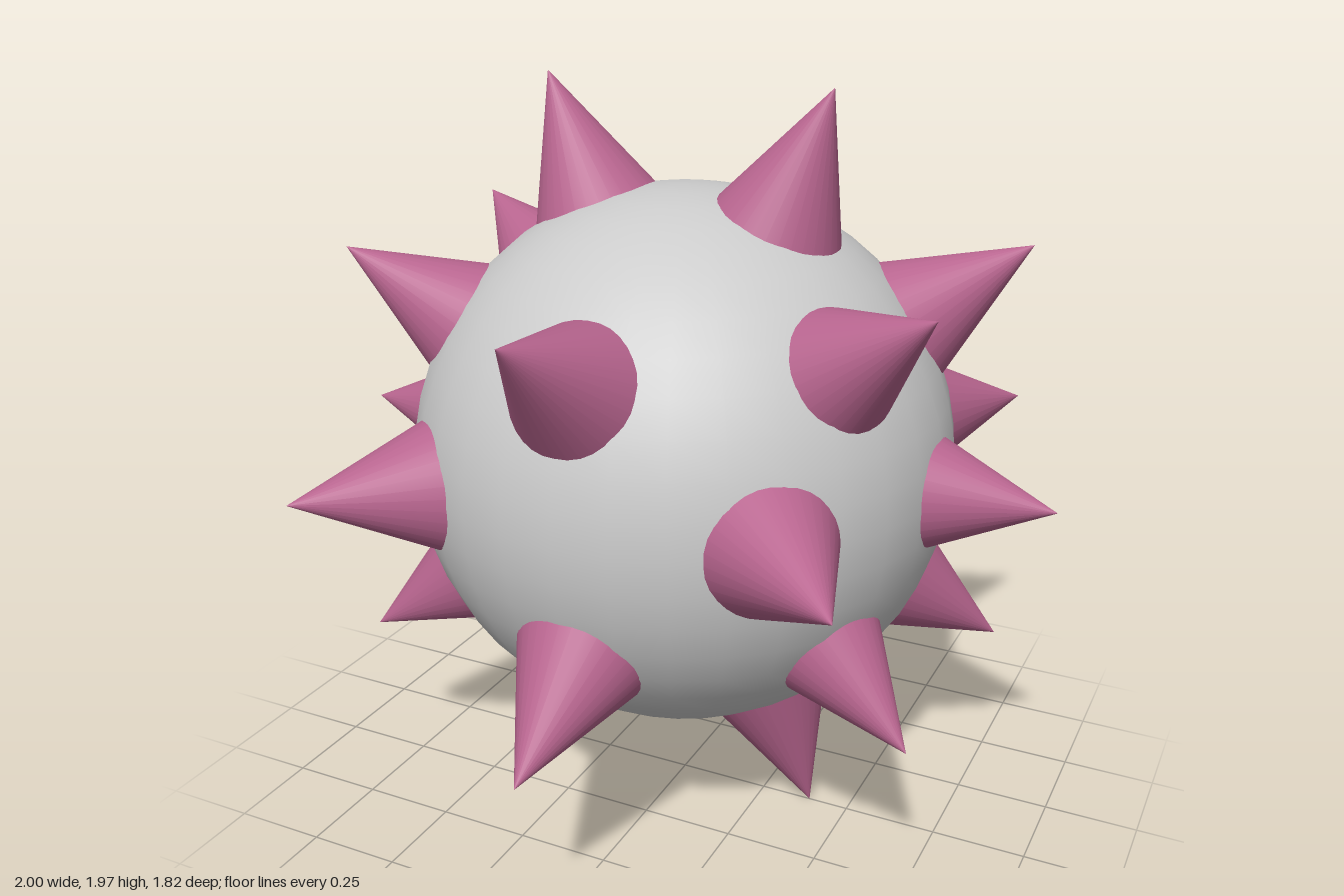
import * as THREE from 'three';

const CENTER = new THREE.Vector3(0, 0.995, 0);
const RADIUS = 0.715;
const SLOPE = 0.462;   // cone radius per unit of height
const ROOT = 0.58;     // distance from the centre where a spike is rooted

// Spike tips; entries with x > 0 are mirrored to the other side
const TIPS = [
  ['upperSpike', 0.39, 1.97, 0],
  ['lowerSpike', 0.39, 0, 0],
  ['sideSpike', 1, 0.997, 0],
  ['frontUpperSpike', 0, 1.53, 0.9],
  ['frontLowerSpike', 0, 0.47, 0.91],
  ['backUpperSpike', 0, 1.535, -0.9],
  ['backLowerSpike', 0, 0.47, -0.905],
  ['frontCornerSpike', 0.71, 0.997, 0.775],
  ['backCornerSpike', 0.7, 0.997, -0.815],
  ['frontUpperSideSpike', 0.78, 1.55, 0.375],
  ['backUpperSideSpike', 0.81, 1.56, -0.36],
  ['frontLowerSideSpike', 0.77, 0.475, 0.38],
  ['backLowerSideSpike', 0.79, 0.45, -0.36],
];

export function createModel() {
  const model = new THREE.Group();
  model.name = 'spikedBall';
  const grey = new THREE.MeshStandardMaterial({ color: 0xcccccc });
  const pink = new THREE.MeshStandardMaterial({ color: 0xb8658f });

  // Round body
  const body = new THREE.Mesh(new THREE.SphereGeometry(RADIUS, 32, 24), grey);
  body.name = 'body';
  body.position.copy(CENTER);
  model.add(body);

  // Cone pointing outwards from the centre of the body
  function addSpike(name, x, y, z) {
    const dir = new THREE.Vector3(x, y, z).sub(CENTER);
    const height = dir.length() - ROOT;
    dir.normalize();
    const spike = new THREE.Mesh(new THREE.ConeGeometry(height * SLOPE, height, 32), pink);
    spike.name = name;
    spike.position.copy(CENTER).addScaledVector(dir, ROOT + height / 2);
    spike.quaternion.setFromUnitVectors(new THREE.Vector3(0, 1, 0), dir);
    model.add(spike);
  }

  for (const [name, x, y, z] of TIPS) {
    if (x === 0) {
      addSpike(name, x, y, z);
    } else {
      addSpike(name + 'Left', x, y, z);
      addSpike(name + 'Right', -x, y, z);
    }
  }
  return model;
}
